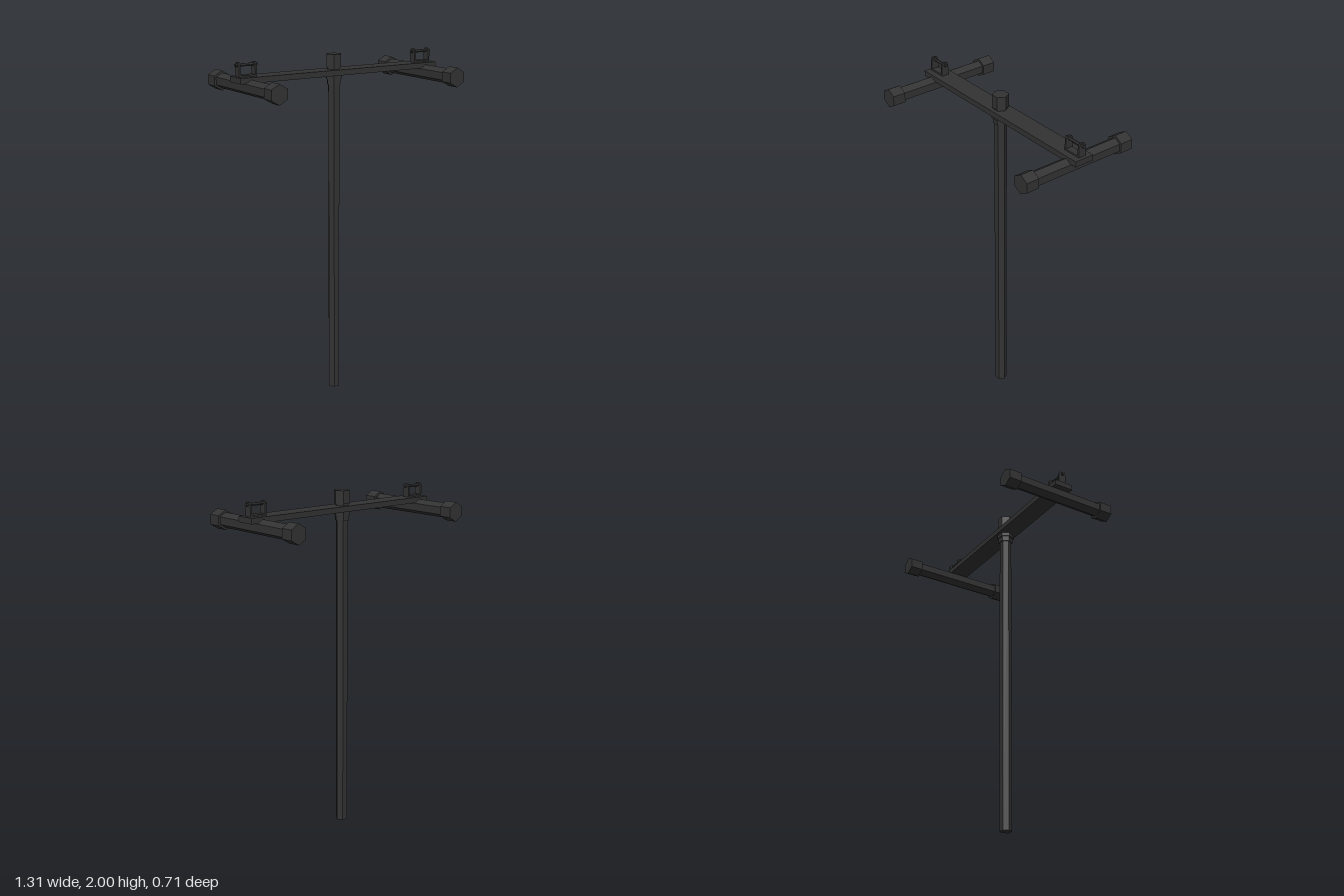
import * as THREE from 'three';

const dark = new THREE.MeshStandardMaterial({ color: 0x333333, flatShading: true });

function add(parent, name, geometry, x, y, z) {
  const mesh = new THREE.Mesh(geometry, dark);
  mesh.name = name;
  mesh.position.set(x, y, z);
  parent.add(mesh);
  return mesh;
}

// Upright hexagonal prism with corners towards +x and -x
function hexUp(parent, name, radius, y0, y1, x) {
  const geometry = new THREE.CylinderGeometry(radius, radius, y1 - y0, 6).rotateY(Math.PI / 2);
  return add(parent, name, geometry, x, (y0 + y1) / 2, 0);
}

// Hexagonal prism along z with corners up and down
function hexAlongZ(parent, name, radius, z0, z1, y) {
  const geometry = new THREE.CylinderGeometry(radius, radius, z1 - z0, 6).rotateX(Math.PI / 2);
  return add(parent, name, geometry, 0, y, (z0 + z1) / 2);
}

// Thin upright lug with clipped top corners, facing along x
function lugGeometry() {
  const s = new THREE.Shape([[-0.022, 0], [0.022, 0], [0.022, 0.066], [0.012, 0.078], [-0.012, 0.078], [-0.022, 0.066]]
    .map(([x, y]) => new THREE.Vector2(x, y)));
  return new THREE.ExtrudeGeometry(s, { depth: 0.01, bevelEnabled: false })
    .translate(0, 0, -0.005).rotateY(Math.PI / 2);
}

export function createModel() {
  const model = new THREE.Group();
  model.name = 'tBarStand';

  // Post with its collars and top nut
  const postX = -0.028;
  hexUp(model, 'post', 0.035, 0, 1.9, postX);
  hexUp(model, 'lowerCollar', 0.042, 1.83, 1.865, postX);
  hexUp(model, 'lowerNut', 0.048, 1.86, 1.885, postX);
  hexUp(model, 'upperCollar', 0.04, 1.91, 1.93, postX);
  hexUp(model, 'topNut', 0.047, 1.925, 2, postX);

  // Flat cross beam
  add(model, 'crossBeam', new THREE.BoxGeometry(1.307, 0.032, 0.116), -0.002, 1.899, 0);

  for (const [side, x] of [['right', -0.588], ['left', 0.578]]) {
    // Handle bar with an end cap front and back
    const handle = new THREE.Group();
    handle.name = side + 'Handle';
    handle.position.x = x;
    hexAlongZ(handle, 'bar', 0.043, -0.33, 0.33, 1.86);
    hexAlongZ(handle, 'backCap', 0.056, -0.355, -0.278, 1.86);
    hexAlongZ(handle, 'frontCap', 0.056, 0.275, 0.352, 1.86);
    model.add(handle);

    // Bracket: base plate, two lugs and a cross pin
    const bracket = new THREE.Group();
    bracket.name = side + 'Bracket';
    bracket.position.set(x, 1.915, 0);
    add(bracket, 'basePlate', new THREE.BoxGeometry(0.106, 0.01, 0.044), 0, 0.004, 0);
    for (const s of [-1, 1]) add(bracket, 'lug', lugGeometry(), s * 0.049, 0, 0);
    const pin = new THREE.CylinderGeometry(0.009, 0.009, 0.135, 6).rotateZ(Math.PI / 2);
    add(bracket, 'pin', pin, 0, 0.063, 0);
    model.add(bracket);
  }
  return model;
}
